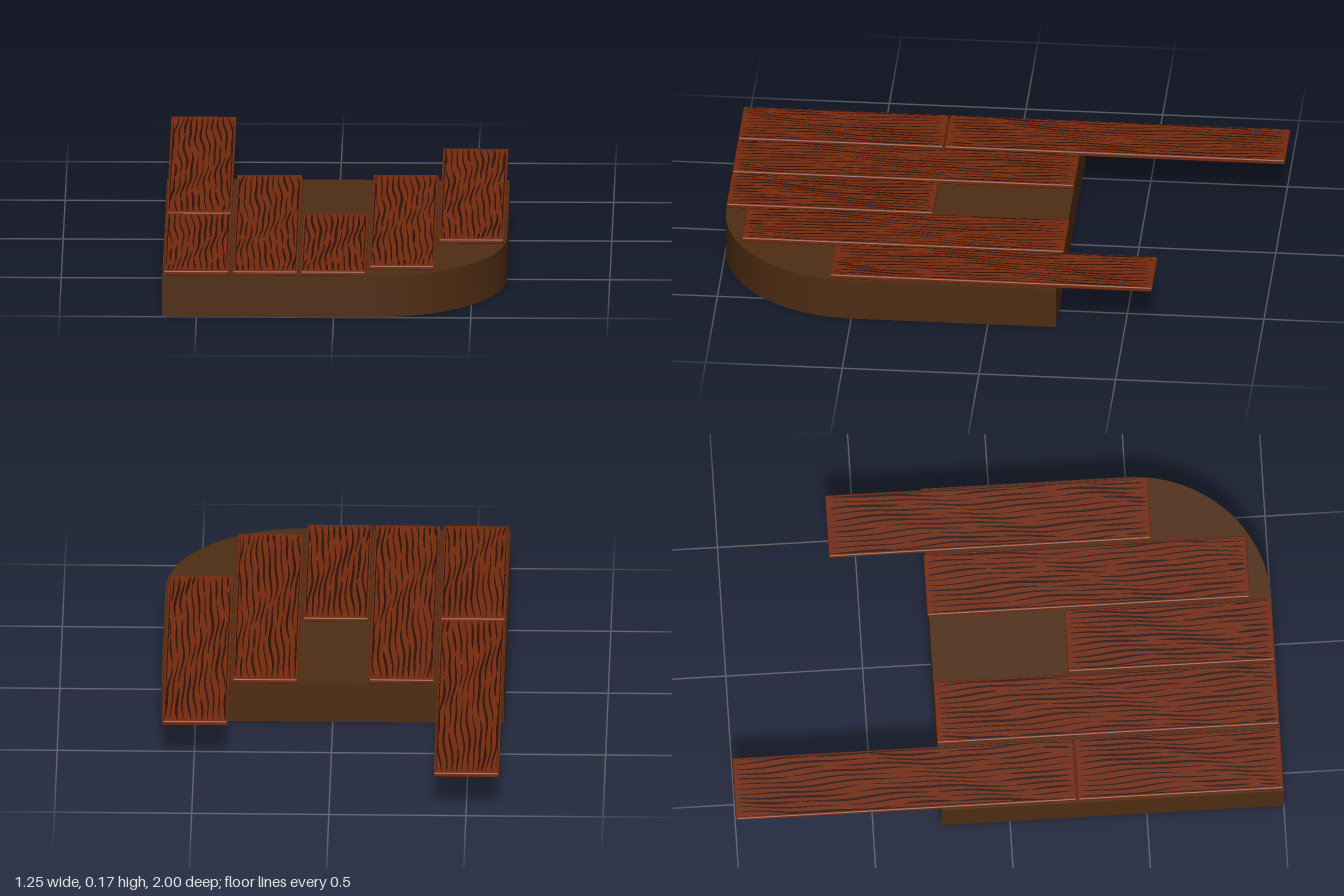
import * as THREE from 'three';
import { mergeGeometries, toCreasedNormals } from 'three/addons/utils/BufferGeometryUtils.js';
import { RoundedBoxGeometry } from 'three/addons/geometries/RoundedBoxGeometry.js';

const BASE_TOP = 0.156;
const PLANK_HEIGHT = 0.018;
const PLANK_WIDTH = 0.238;

const baseMaterial = new THREE.MeshStandardMaterial({ color: 0x4e2c12 });
const plankMaterial = new THREE.MeshStandardMaterial({ color: 0x74290d });
const grainMaterial = new THREE.MeshStandardMaterial({ color: 0x2c1108 });

function seeded(seed) {
  let s = seed * 7919 + 17;
  return () => (s = (s * 16807) % 2147483647) / 2147483647;
}

// Slab with one large rounded corner at the front left
function createBase() {
  const outline = new THREE.Shape();
  outline.moveTo(-0.625, 0.25);
  outline.lineTo(-0.625, -1);
  outline.lineTo(0.125, -1);
  outline.absarc(0.125, -0.5, 0.5, -Math.PI / 2, 0, false);
  outline.lineTo(0.625, 0.25);
  outline.closePath();
  const slab = new THREE.ExtrudeGeometry(outline, { depth: BASE_TOP, bevelEnabled: false, curveSegments: 16 });
  slab.rotateX(-Math.PI / 2);
  const base = new THREE.Mesh(toCreasedNormals(slab, 0.5), baseMaterial);
  base.name = 'base';
  return base;
}

// One thin tapered streak that follows a wavy line along the plank
function createStreak(z0, z1, centreAt, width, side) {
  const steps = Math.max(6, Math.round((z1 - z0) * 40));
  const streak = new THREE.PlaneGeometry(1, 1, 1, steps).rotateX(-side * Math.PI / 2);
  const p = streak.attributes.position;
  const limit = PLANK_WIDTH / 2 - 0.007;
  for (let i = 0; i < p.count; i++) {
    const t = p.getZ(i) + 0.5;
    const z = THREE.MathUtils.lerp(z0, z1, t);
    const w = width * Math.sqrt(Math.max(0, Math.sin(Math.PI * t)));
    const x = centreAt(z) + p.getX(i) * w;
    p.setXYZ(i, THREE.MathUtils.clamp(x, -limit, limit), side * (PLANK_HEIGHT / 2 + 0.0008), z);
  }
  streak.computeVertexNormals();
  return streak;
}

// Grain lanes on the upper and lower faces
function createGrain(length, seed) {
  const random = seeded(seed);
  const streaks = [];
  const lanes = 11;
  const end = length / 2 - 0.006;
  for (const side of [1, -1]) {
    const phase = random() * 6;
    for (let lane = 0; lane < lanes; lane++) {
      const laneX = ((lane + 0.5) / lanes - 0.5) * (PLANK_WIDTH - 0.016);
      const centreAt = (z) => laneX
        + 0.008 * Math.sin(z * 8 + phase + lane * 0.35)
        + 0.003 * Math.sin(z * 21 + phase * 2 + lane);
      let z = -end;
      while (z < end - 0.05) {
        const next = Math.min(end, z + 0.18 + random() * 0.45);
        streaks.push(createStreak(z, next, centreAt, 0.005 + random() * 0.005, side));
        z = next - 0.02 + random() * 0.05;
      }
    }
    // Dark worn edges along the long sides
    for (const edge of [-1, 1]) {
      streaks.push(createStreak(-end, end, () => edge * (PLANK_WIDTH / 2 - 0.009), 0.004, side));
    }
  }
  return mergeGeometries(streaks);
}

function createPlank(name, x, zBack, zFront, seed) {
  const length = zFront - zBack;
  const plank = new THREE.Group();
  plank.name = name;
  const board = new THREE.Mesh(new RoundedBoxGeometry(PLANK_WIDTH, PLANK_HEIGHT, length, 2, 0.005), plankMaterial);
  board.name = 'board';
  const grain = new THREE.Mesh(createGrain(length, seed), grainMaterial);
  grain.name = 'grain';
  plank.add(board, grain);
  plank.position.set(x, BASE_TOP + PLANK_HEIGHT / 2, (zBack + zFront) / 2);
  return plank;
}

export function createModel() {
  const model = new THREE.Group();
  model.name = 'unfinishedPlankFloor';
  model.add(createBase());

  // Planks: name, centre x, back end, front end
  const planks = [
    ['overhangingPlankRight', -0.501, -1, 0.244],
    ['shortPlankRight', -0.501, 0.249, 1],
    ['longPlank', -0.25, -0.25, 1],
    ['shortPlankMiddle', -0.002, 0.244, 1],
    ['longPlankLeft', 0.247, -0.256, 0.922],
    ['overhangingPlankLeft', 0.496, -0.6, 0.577],
  ];
  planks.forEach((plank, i) => model.add(createPlank(...plank, i + 1)));
  return model;
}
